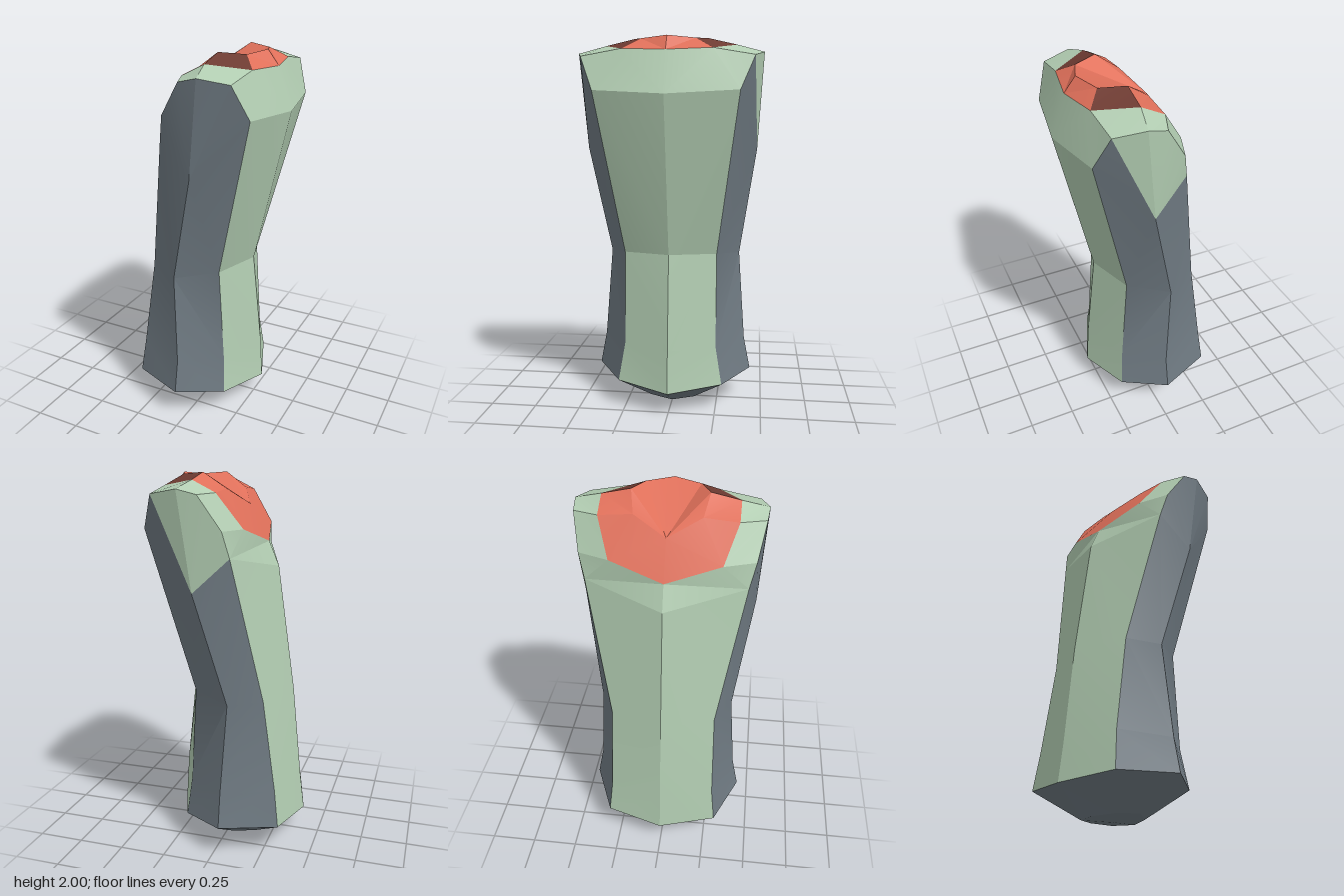
import * as THREE from 'three';
import { toCreasedNormals } from 'three/addons/utils/BufferGeometryUtils.js';

// Long edges of half the limb, each from the foot up (x, y, z)
const A = [[.085, .005, 0], [.3, .125, 0], [.285, .36, 0], [.23, .875, 0], [.415, 1.71, 0]];
const B = [[.04, .01, .12], [.19, .15, .285], [.17, .36, .25], [.14, .87, .25], [.355, 1.73, .37]];
const C = [[-.05, .02, .18], [-.04, .17, .435], [-.04, .35, .4], [-.07, .84, .365], [.08, 1.43, .455]];
const D = [[-.16, .015, .13], [-.335, .16, .31], [-.31, .36, .29], [-.24, .85, .28], [-.1, 1.6, .41]];
const E = [[-.21, .01, 0], [-.415, .14, 0], [-.39, .34, 0], [-.34, .85, 0], [-.245, 1.52, 0]];
const sole = [-.05, 0, 0];
// Shoulder rim, then outer and inner outlines of the cap
const F = [.29, 1.9, .44], G = [.14, 1.925, .485], H = [.04, 1.9, .475], I = [-.07, 1.73, .44];
const O = [[.34, 1.925, 0], [.3, 1.935, .23], [.11, 1.965, .345], [-.01, 1.905, .345], [-.13, 1.73, .28], [-.19, 1.65, 0]];
const N = [[.28, 2, 0], [.23, 1.99, .14], [.105, 2, .195], [-.01, 1.92, .17], [-.085, 1.84, 0]];

const mirrorZ = ([x, y, z]) => [x, y, -z];

// Mesh from polygons, each fanned from its first corner and turned outward
function panel(name, color, polygons) {
  const out = [];
  for (const poly of polygons) {
    const p = poly.map(c => new THREE.Vector3(...c));
    for (let i = 1; i < p.length - 1; i++) {
      const tri = new THREE.Triangle(p[0], p[i], p[i + 1]);
      const mid = tri.getMidpoint(new THREE.Vector3());
      const y = THREE.MathUtils.clamp(mid.y, .3, 1.5);
      const core = new THREE.Vector3(y < .9 ? -.05 : -.05 + (y - .9) * .23, y, 0);
      const outward = tri.getNormal(new THREE.Vector3()).dot(mid.sub(core)) > 0;
      for (const v of outward ? [tri.a, tri.b, tri.c] : [tri.a, tri.c, tri.b]) out.push(v.x, v.y, v.z);
    }
  }
  const geometry = new THREE.BufferGeometry();
  geometry.setAttribute('position', new THREE.Float32BufferAttribute(out, 3));
  geometry.computeVertexNormals();
  const mesh = new THREE.Mesh(toCreasedNormals(geometry, .3), new THREE.MeshStandardMaterial({ color }));
  mesh.name = name;
  return mesh;
}

// Quads between two long edges
const strip = (p, q, from, to) => {
  const quads = [];
  for (let i = from; i < to; i++) quads.push([p[i], q[i], q[i + 1], p[i + 1]]);
  return quads;
};

export function createModel() {
  const GREY = 0x6f7a82, GREEN = 0xb2cdb2, RED = 0xe0705a, DARK = 0x6e3b32;
  const group = new THREE.Group();
  group.name = 'limb';
  const both = polys => [...polys, ...polys.map(p => p.map(mirrorZ))];

  // Rounded foot
  const edges = [A, B, C, D, E];
  const foot = [];
  for (let i = 0; i < 4; i++) {
    foot.push(...strip(edges[i], edges[i + 1], 0, 1), [sole, edges[i][0], edges[i + 1][0]]);
  }
  group.add(panel('foot', GREY, both(foot)));

  // Grey front and back panels; the front one reaches the shoulder rim
  const greySide = [
    ...strip(B, C, 1, 4), ...strip(C, D, 1, 4), [C[4], B[4], F],
  ];
  const upper = [[C[4], F, G, H, I, D[4]]];
  group.add(panel('frontPanel', GREY, [...greySide, ...upper]));
  group.add(panel('backPanel', GREY, greySide.map(p => p.map(mirrorZ))));
  group.add(panel('backShoulder', GREEN, upper.map(p => p.map(mirrorZ))));

  // Green side panels
  group.add(panel('leftPanel', GREEN, both(strip(A, B, 1, 4))));
  group.add(panel('rightPanel', GREEN, both(strip(D, E, 1, 4))));

  // Green shoulder around the cap
  group.add(panel('shoulder', GREEN, both([
    [O[1], O[0], A[4], B[4], F], [F, G, O[2], O[1]], [G, H, O[3], O[2]],
    [H, I, O[4], O[3]], [I, D[4], O[4]], [D[4], E[4], O[5], O[4]],
  ])));

  // Red cap with two dark facets
  group.add(panel('cap', RED, both([
    [O[0], O[1], N[1], N[0]], [O[2], O[3], N[3], N[2]], [O[3], O[4], N[3]],
    [O[4], O[5], N[4], N[3]], [N[4], N[3], N[2], N[1], N[0]],
  ])));
  group.add(panel('darkFacets', DARK, both([[O[1], O[2], N[2], N[1]]])));
  return group;
}
